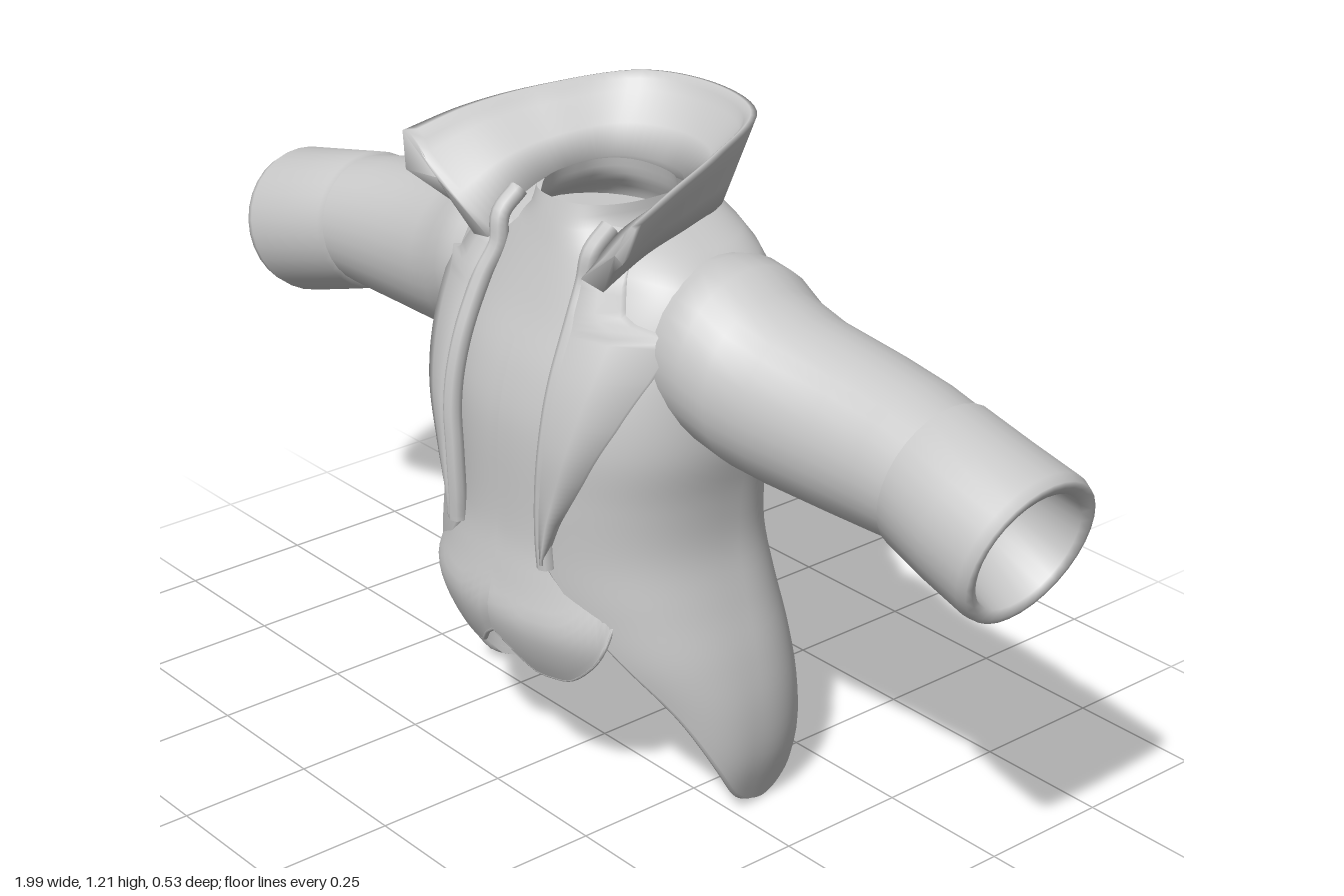
import * as THREE from 'three';

const cloth = new THREE.MeshStandardMaterial({ color: 0xc8c8c8 });
cloth.name = 'grey cloth';

// Smooth lookup in a table whose first column is the key
function look(table, key, col = 1) {
  const n = table.length;
  let i = 0;
  while (i < n - 2 && key > table[i + 1][0]) i++;
  const at = (k) => table[Math.min(n - 1, Math.max(0, k))];
  const slope = (k) => (at(k + 1)[col] - at(k - 1)[col]) / (at(k + 1)[0] - at(k - 1)[0]);
  const h = at(i + 1)[0] - at(i)[0];
  const t = THREE.MathUtils.clamp((key - at(i)[0]) / h, 0, 1), t2 = t * t, t3 = t2 * t;
  return (2 * t3 - 3 * t2 + 1) * at(i)[col] + (t3 - 2 * t2 + t) * h * slope(i)
    + (3 * t2 - 2 * t3) * at(i + 1)[col] + (t3 - t2) * h * slope(i + 1);
}

// Grid surface from fn(i, j) -> [x, y, z]; "closed" joins the i direction into a ring
function loft(fn, nu, nv, closed = false) {
  const pos = [], idx = [], cols = closed ? nu : nu + 1;
  for (let j = 0; j <= nv; j++) for (let i = 0; i < cols; i++) pos.push(...fn(i, j));
  for (let j = 0; j < nv; j++) for (let i = 0; i < nu; i++) {
    const k = (i + 1) % cols, a = j * cols, b = a + cols;
    idx.push(a + i, a + k, b + k, a + i, b + k, b + i);
  }
  const g = new THREE.BufferGeometry();
  g.setAttribute('position', new THREE.Float32BufferAttribute(pos, 3));
  g.setIndex(idx);
  g.computeVertexNormals();
  return g;
}

// Mirror a geometry to the other side, keeping its faces outward
function mirror(g) {
  g.scale(-1, 1, 1);
  const idx = g.index.array;
  for (let i = 0; i < idx.length; i += 3) [idx[i], idx[i + 1]] = [idx[i + 1], idx[i]];
  g.computeVertexNormals();
  return g;
}

// Body sections: height, half width, front z, back z
const COAT = [
  [0, .35, .13, -.27], [.1, .378, .15, -.27], [.2, .38, .18, -.26], [.3, .363, .22, -.243],
  [.4, .335, .24, -.222], [.5, .313, .247, -.205], [.6, .317, .25, -.2], [.7, .335, .247, -.21],
  [.8, .335, .226, -.23], [.9, .325, .185, -.23], [.97, .3, .148, -.215], [1.01, .255, .125, -.205],
  [1.045, .17, .08, -.19],
];
const VEST = [
  [.2, .27, .2, -.1], [.28, .305, .245, -.13], [.35, .318, .266, -.15], [.41, .296, .255, -.16],
  [.5, .265, .24, -.17], [.7, .28, .236, -.17], [.8, .28, .215, -.17], [.9, .26, .175, -.17],
  [1.0, .18, .14, -.16], [1.04, .12, .128, -.14], [1.08, .11, .115, -.13],
];
// Hem height by angle from the front centre
const COAT_HEM = [[.34, .47], [.6, .36], [.9, .25], [1.3, .09], [1.64, .004], [1.95, .025], [2.2, .055],
  [2.5, .095], [2.7, .13], [2.85, .165], [3.005, .2], [3.07, .165], [3.1416, .145]];
const VEST_HEM = [[0, .305], [.2, .243], [.32, .24], [.5, .25], [.72, .31], [.81, .36], [.95, .44],
  [1.3, .46], [3.1416, .46]];
const OPEN = .34, POW = .85, ZC = -.03;

// Point on a body at angle a from the front and height y
function bodyPoint(table, a, y, inset = 0) {
  const s = Math.sin(a), c = Math.cos(a);
  const depth = Math.abs(look(table, y, c > 0 ? 2 : 3) - ZC) - inset;
  return [Math.sign(s) * Math.abs(s) ** POW * (look(table, y, 1) - inset), y,
    ZC + Math.sign(c) * depth * Math.abs(c) ** .8];
}

// Cloth layer of a body from hem to top; the lining is inset and faces inward
function bodyLayer(table, hemTable, open, inset) {
  const nu = 120, nv = 40, top = table[table.length - 1][0];
  return loft((i, j) => {
    const a = open + (2 * Math.PI - 2 * open) * (inset ? nu - i : i) / nu;
    const hem = look(hemTable, Math.min(a, 2 * Math.PI - a));
    return bodyPoint(table, a, hem + (top - hem) * j / nv, inset);
  }, nu, nv);
}

// Rolled edge that runs along a list of points
function roll(points, r, segments) {
  const curve = new THREE.CatmullRomCurve3(points.map((p) => new THREE.Vector3(...p)));
  return new THREE.TubeGeometry(curve, segments, r, 8);
}

function hemRoll(table, hemTable, open, r) {
  const points = [];
  for (let i = 0; i <= 90; i++) {
    const a = open + (2 * Math.PI - 2 * open) * i / 90;
    points.push(bodyPoint(table, a, look(hemTable, Math.min(a, 2 * Math.PI - a)) + r * .7, r));
  }
  return roll(points, r, 180);
}

// Tube from rings [x, y, z, radius y, radius z, tilt]; swing moves the wrist forward
function ringTube(rings, swing) {
  const n = 32;
  return loft((i, j) => {
    const [x, y, z, ry, rz, tilt] = rings[j], a = -2 * Math.PI * i / n;
    return [x + Math.sin(a) * ry * tilt, y + Math.sin(a) * ry,
      z + Math.cos(a) * rz + swing * Math.max(0, x - .5)];
  }, n, rings.length - 1, true);
}

// Lapel: raised flap on the coat front with a notch at the top
function lapel() {
  const width = [[.48, .125], [.56, .155], [.65, .2], [.75, .245], [.84, .278], [.905, .295],
    [.915, .27], [.93, .215], [.965, .2], [1.01, .18]];
  const nv = 50;
  const steps = [[0, 0], [.06, .018], [.5, .018], [1, .015], [1, -.02]];
  return loft((i, j) => {
    const y = .48 + .53 * j / nv, [f, lift] = steps[i], rx = look(COAT, y, 1);
    const inner = rx * Math.sin(OPEN) ** POW;
    let k = 0;
    while (k < width.length - 2 && y > width[k + 1][0]) k++;
    const t = (y - width[k][0]) / (width[k + 1][0] - width[k][0]);
    const outer = Math.max(inner + .004, THREE.MathUtils.lerp(width[k][1], width[k + 1][1], t));
    const x = inner + (outer - inner) * f;
    const p = bodyPoint(COAT, Math.asin(Math.min(.99, (x / rx) ** (1 / POW))), y);
    // The flap sinks back into the coat at its top
    const rise = lift * Math.min(1, (1.01 - y) / .03);
    return [p[0] + rise * .3, y, p[2] + rise];
  }, steps.length - 1, nv);
}

// Standing collar: flared band that slopes in to the neck, open at the front
function collar() {
  const mirrored = (pts) => new THREE.CatmullRomCurve3([
    ...pts.slice(1).reverse().map(([x, y, z]) => new THREE.Vector3(-x, y, z)),
    ...pts.map((p) => new THREE.Vector3(...p)),
  ]);
  const base = mirrored([[0, 1.02, -.2], [.12, 1.035, -.16], [.18, 1.04, -.03], [.19, 1.02, .07], [.175, .97, .148]]);
  const rim = mirrored([[0, 1.202, -.252], [.15, 1.198, -.21], [.24, 1.181, -.05], [.285, 1.161, .08], [.312, 1.132, .195]]);
  const inner = mirrored([[0, 1.08, -.14], [.09, 1.08, -.1], [.12, 1.07, -.01], [.125, 1.04, .08], [.125, .98, .155]]);
  const nv = 60, n = 9;
  return loft((i, j) => {
    const t = THREE.MathUtils.clamp((j - 1) / (nv - 2), 0, 1);
    const b = base.getPoint(t), r = rim.getPoint(t), q = inner.getPoint(t);
    const lip = r.clone().lerp(q, .24), tip = Math.abs(2 * t - 1) ** 6;
    const flare = new THREE.Vector3(Math.sign(t - .5) * .025 * tip, -.01 * tip, .025 * tip);
    const ring = [b, b.clone().lerp(r, .33), b.clone().lerp(r, .67).add(flare), r,
      r.clone().lerp(lip, .35).add(new THREE.Vector3(0, .012, 0)),
      r.clone().lerp(lip, .75).add(new THREE.Vector3(0, .012, 0)),
      lip, lip.clone().lerp(q, .5), q];
    // The first and last rows close the front ends
    if (j === 0 || j === nv) {
      return ring.reduce((s, p) => s.add(p), new THREE.Vector3()).divideScalar(n).toArray();
    }
    return ring[i].toArray();
  }, n, nv, true);
}

export function createModel() {
  const model = new THREE.Group();
  const add = (name, geometry) => {
    const mesh = new THREE.Mesh(geometry, cloth);
    mesh.name = name;
    model.add(mesh);
    return mesh;
  };

  add('coat', bodyLayer(COAT, COAT_HEM, OPEN, 0));
  add('coatLining', bodyLayer(COAT, COAT_HEM, OPEN, .02));
  add('coatHem', hemRoll(COAT, COAT_HEM, OPEN, .01));
  add('vest', bodyLayer(VEST, VEST_HEM, 0, 0));
  add('vestLining', bodyLayer(VEST, VEST_HEM, 0, .01));
  add('vestHem', hemRoll(VEST, VEST_HEM, 0, .005));
  add('collar', collar());

  // Floor inside the neck opening
  const neck = add('neckLining', new THREE.CircleGeometry(.17, 32));
  neck.rotation.x = -Math.PI / 2;
  neck.scale.y = .8;
  neck.position.set(0, 1.0, -.01);

  for (const side of [1, -1]) {
    const word = side > 0 ? 'left' : 'right';
    const swing = side > 0 ? 0 : .06;
    const pair = (name, geometry) => add(word + name, side > 0 ? geometry : mirror(geometry));

    pair('Lapel', lapel());
    const edge = [];
    for (let y = .47; y < 1.0; y += .05) edge.push(bodyPoint(COAT, OPEN, y));
    edge.push([.122, 1.02, .13], [.122, 1.055, .09]);
    pair('FrontEdge', roll(edge, .017, 60));

    pair('Sleeve', ringTube([
      [.2, .86, -.04, .14, .14, 0], [.28, .86, -.038, .16, .165, 0], [.33, .85, -.04, .163, .162, 0],
      [.38, .826, -.045, .156, .154, 0], [.45, .808, -.055, .149, .146, .03],
      [.58, .792, -.07, .142, .138, .08], [.68, .786, -.07, .133, .133, .13],
      [.76, .78, -.067, .122, .127, .16],
    ], swing));
    // Cuff with a rounded lip and a hollow end
    pair('Cuff', ringTube([
      [.742, .78, -.065, .116, .12, .17], [.75, .78, -.065, .13, .135, .17],
      [.85, .755, -.06, .133, .139, .23], [.94, .732, -.06, .135, .141, .29],
      [.957, .727, -.06, .13, .136, .29], [.96, .727, -.06, .12, .125, .29],
      [.952, .727, -.06, .106, .111, .29], [.85, .755, -.06, .09, .095, .25], [.82, .76, -.06, 0, 0, 0],
    ], swing));
  }
  return model;
}
